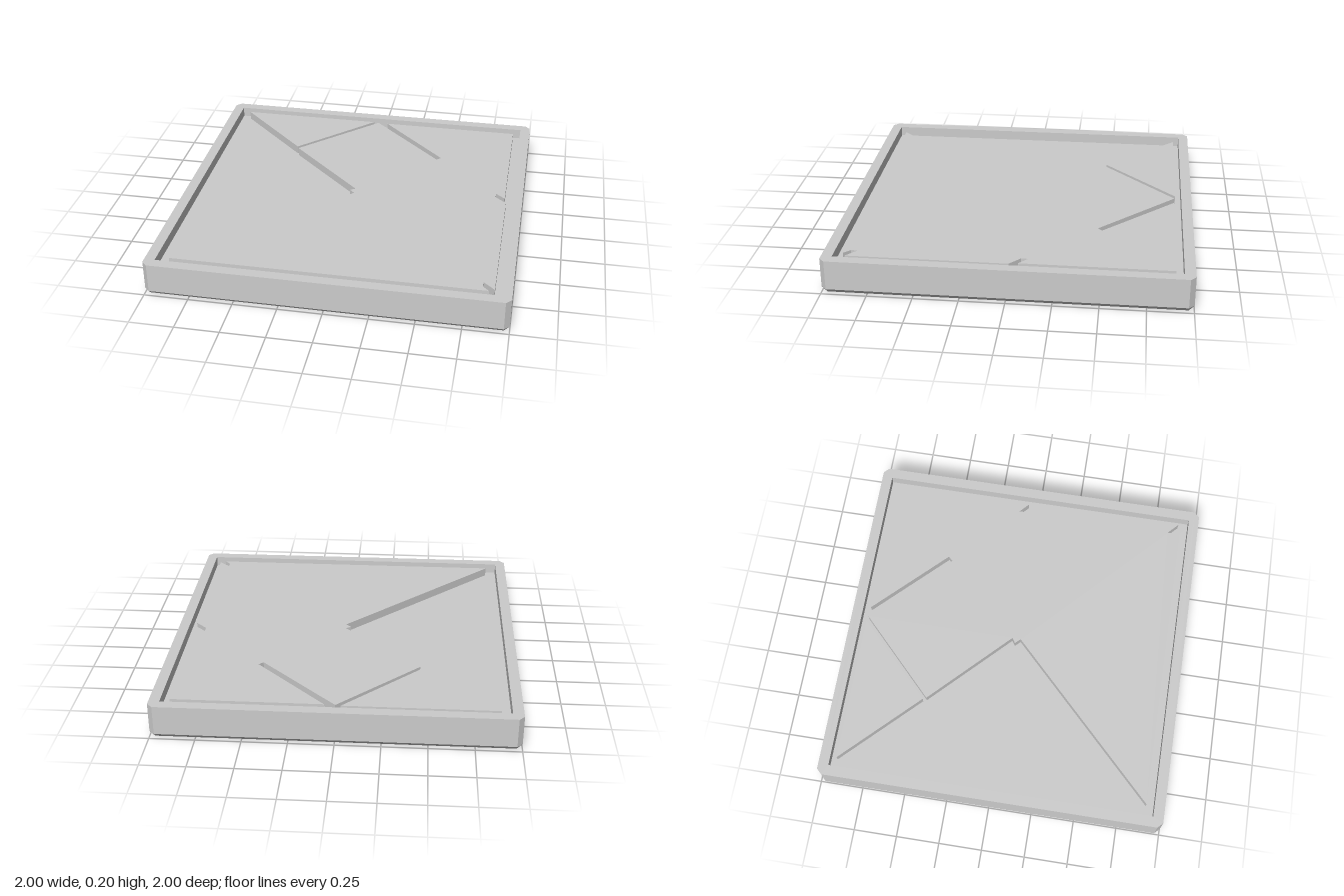
import * as THREE from 'three';
import { ConvexGeometry } from 'three/addons/geometries/ConvexGeometry.js';

const FLOOR = 0.14, TOP = 0.19, RIM = 0.2;
const C = 0.97; // edge of the 0.03 chamfers

const octagon = [[1, -C], [1, C], [C, 1], [-C, 1], [-1, C], [-1, -C], [-C, -1], [C, -1]];
const toPoints = (list) => list.map(([x, z]) => new THREE.Vector2(x, z));

// Upright prism from an [x, z] outline between two heights
function prism(outline, y0, y1, hole) {
  const shape = new THREE.Shape(toPoints(outline));
  if (hole) shape.holes.push(new THREE.Path(toPoints(hole)));
  const geo = new THREE.ExtrudeGeometry(shape, { depth: y1 - y0, bevelEnabled: false });
  return geo.rotateX(Math.PI / 2).translate(0, y1, 0);
}

export function createModel() {
  const group = new THREE.Group();
  const material = new THREE.MeshStandardMaterial({ color: 0xcccccc, flatShading: true });
  const add = (name, geometry) => {
    const mesh = new THREE.Mesh(geometry, material);
    mesh.name = name;
    group.add(mesh);
  };

  // Tray base: chamfered at the bottom and the upright corners
  const corners = [[C, C], [C, -C], [-C, C], [-C, -C]].map(([x, z]) => new THREE.Vector3(x, 0, z));
  for (const y of [0.03, FLOOR]) {
    for (const [x, z] of octagon) corners.push(new THREE.Vector3(x, y, z));
  }
  add('trayBase', new ConvexGeometry(corners));

  // Raised rim around the recess
  const r = 0.94;
  add('trayRim', prism(octagon, FLOOR, RIM, [[-r, -r], [r, -r], [r, r], [-r, r]]));

  // Joined puzzle pieces, with the left quarter left empty
  add('joinedPieces', prism([
    [-0.875, 0.895], [0, 0.03], [-0.03, 0], [0, -0.02], // centre
    [-0.45, -0.46], [0, -0.9],
    [0.44, -0.465], [0.465, -0.49], [0.06, -0.897], // slot
    [0.895, -0.897], [0.895, -0.06],
    [0.84, -0.11], [0.84, -0.07], [0.905, -0.01], // side notch
    [0.905, 0.88], [0.84, 0.82], [0.84, 0.86], [0.875, 0.895], // corner notch
  ], FLOOR, TOP));

  // Loose triangle at the back
  add('trianglePiece', prism([[-0.885, -0.905], [-0.03, -0.905], [-0.46, -0.48]], FLOOR, TOP));

  return group;
}
